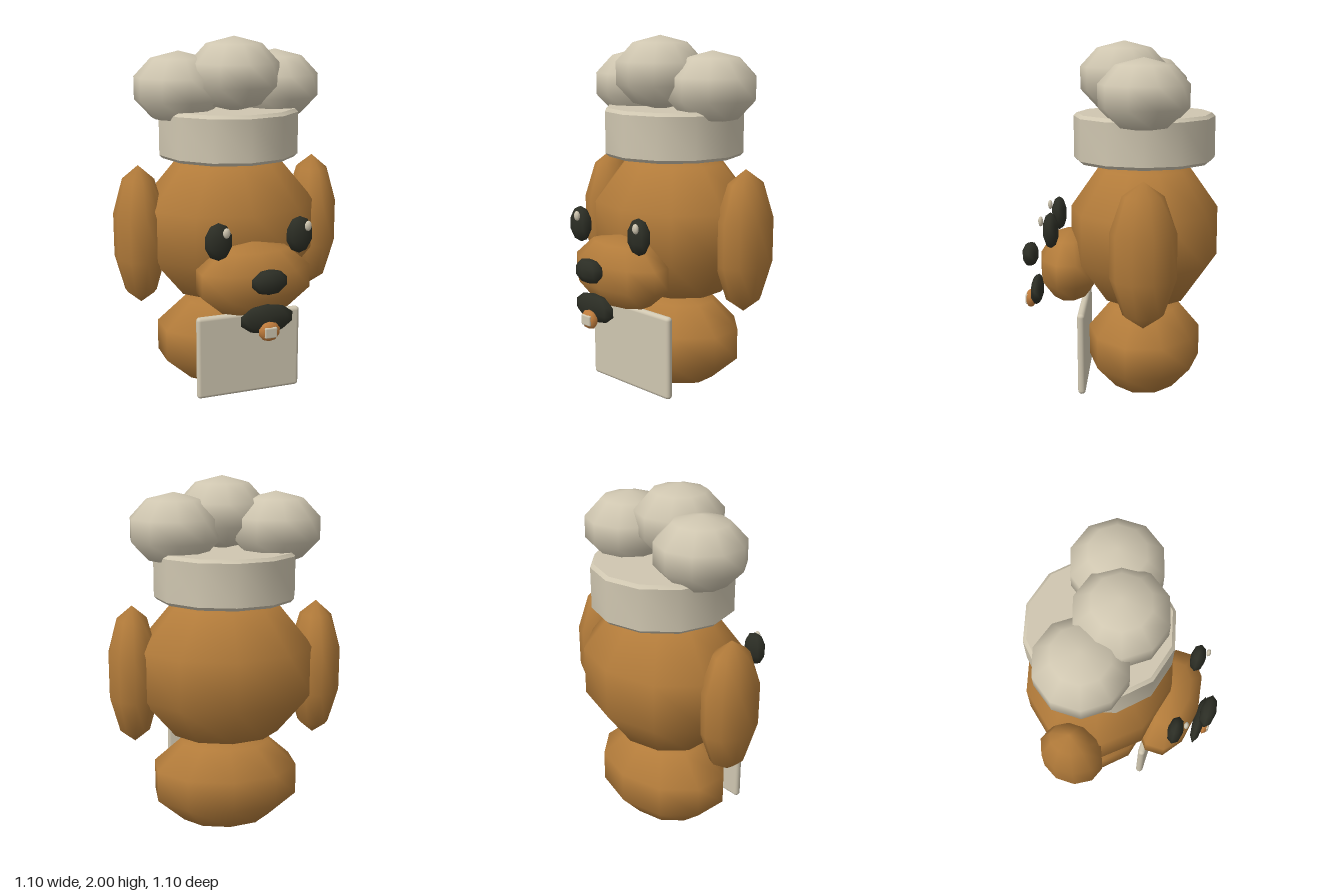
import * as THREE from 'three';
import { toCreasedNormals } from 'three/addons/utils/BufferGeometryUtils.js';
import { RoundedBoxGeometry } from 'three/addons/geometries/RoundedBoxGeometry.js';

function flatColour(name, hex) {
  const m = new THREE.MeshStandardMaterial({ color: hex });
  m.name = name;
  return m;
}

export function createModel() {
  const fur = flatColour('brown fur', 0xb27b3a);
  const cream = flatColour('cream', 0xcfc6b0);
  const dark = flatColour('dark', 0x2c2e25);
  const tongue = flatColour('tongue', 0xc07c3c);

  const model = new THREE.Group();
  model.name = 'bearCook';
  // the figure is turned to face diagonally between +x and +z
  const figure = new THREE.Group();
  figure.name = 'figure';
  figure.rotation.y = THREE.MathUtils.degToRad(48);
  figure.position.set(-0.045, 0, -0.015);
  model.add(figure);

  // coarse smooth balls with a corner pointing forwards
  const ball = new THREE.SphereGeometry(1, 10, 5).rotateY(Math.PI / 2);
  const smallBall = new THREE.SphereGeometry(1, 8, 5);

  function add(name, geometry, material, position, scale = [1, 1, 1]) {
    const mesh = new THREE.Mesh(geometry, material);
    mesh.name = name;
    mesh.position.set(...position);
    mesh.scale.set(...scale);
    figure.add(mesh);
    return mesh;
  }

  // body, head and snout
  add('body', ball, fur, [0, 0.285, 0], [0.44, 0.285, 0.335]);
  add('head', ball, fur, [0, 0.942, 0], [0.522, 0.45, 0.435]);
  add('snout', ball, fur, [0, 0.745, 0.42], [0.335, 0.205, 0.18]);

  // ears and eyes, mirrored
  for (const [side, s] of [['left', 1], ['right', -1]]) {
    add(side + 'Ear', ball, fur, [s * 0.515, 0.925, 0], [0.147, 0.39, 0.184]);
    add(side + 'Eye', smallBall, dark, [s * 0.224, 0.99, 0.507], [0.076, 0.1, 0.045]);
    // glints sit on the same side of both eyes
    add(side + 'EyeGlint', smallBall, cream, [s * 0.224 + 0.027, 1.046, 0.557], [0.02, 0.028, 0.014]);
  }

  // nose, mouth, tongue and tooth
  add('nose', smallBall, dark, [0, 0.797, 0.653], [0.1, 0.068, 0.048]);
  add('mouth', smallBall, dark, [0, 0.587, 0.618], [0.15, 0.08, 0.037]);
  add('tongue', smallBall, tongue, [0, 0.532, 0.657], [0.06, 0.053, 0.03]);
  add('tooth', new RoundedBoxGeometry(0.068, 0.058, 0.04, 1, 0.008), cream, [0, 0.532, 0.667]);

  // hat band: a bevelled twelve-sided drum
  const profile = [[0, 1.345], [0.375, 1.345], [0.393, 1.363], [0.393, 1.592], [0.375, 1.61], [0, 1.61]]
    .map(([r, y]) => new THREE.Vector2(r, y));
  const band = toCreasedNormals(new THREE.LatheGeometry(profile, 12), 0.6);
  add('hatBand', band, cream, [0, 0, 0]);

  // hat puffs
  add('leftHatPuff', ball, cream, [0.278, 1.725, 0], [0.255, 0.197, 0.255]);
  add('rightHatPuff', ball, cream, [-0.278, 1.725, 0], [0.255, 0.197, 0.255]);
  add('frontHatPuff', ball, cream, [0, 1.8, 0.11], [0.255, 0.2, 0.255]);

  // blank board held at the chest
  add('board', new RoundedBoxGeometry(0.595, 0.47, 0.042, 3, 0.02), cream, [0, 0.295, 0.345]);

  return model;
}
